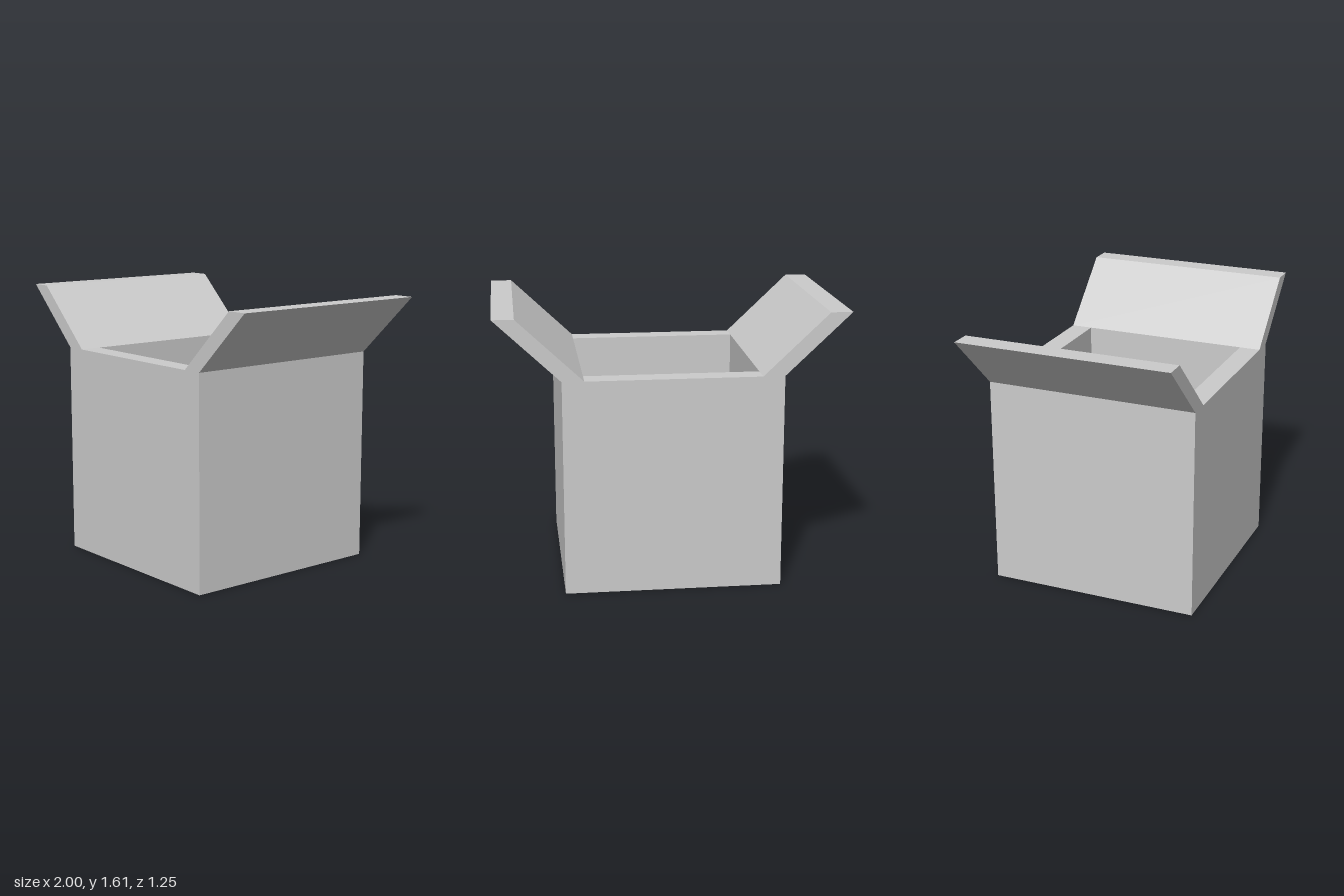
import * as THREE from 'three';

const OUTER = 0.625, INNER = 0.5, HEIGHT = 1.25, TOP = 1.605, WALL = OUTER - INNER, REACH = 0.375;

const material = new THREE.MeshStandardMaterial({ color: 0xcccccc, flatShading: true });

function addMesh(group, name, geometry) {
  const mesh = new THREE.Mesh(geometry, material);
  mesh.name = name;
  group.add(mesh);
  return mesh;
}

const polygon = (points) => new THREE.Shape(points.map(([x, y]) => new THREE.Vector2(x, y)));
const square = (r) => polygon([[-r, -r], [r, -r], [r, r], [-r, r]]);

export function createModel() {
  const box = new THREE.Group();
  box.name = 'openBox';

  // Four walls as one square ring
  const ring = square(OUTER);
  ring.holes.push(square(INNER));
  const walls = new THREE.ExtrudeGeometry(ring, { depth: HEIGHT, bevelEnabled: false });
  walls.rotateX(-Math.PI / 2);
  addMesh(box, 'walls', walls);

  // Floor panel inside the ring
  const floor = new THREE.BoxGeometry(INNER * 2, WALL, INNER * 2);
  addMesh(box, 'floor', floor).position.y = WALL / 2;

  // Slanted flaps along the left and right walls
  for (const [name, side] of [['leftFlap', 1], ['rightFlap', -1]]) {
    const profile = polygon([
      [side * INNER, HEIGHT], [side * OUTER, HEIGHT],
      [side * (OUTER + REACH), TOP], [side * (INNER + REACH), TOP],
    ]);
    const flap = new THREE.ExtrudeGeometry(profile, { depth: OUTER * 2, bevelEnabled: false });
    flap.translate(0, 0, -OUTER);
    addMesh(box, name, flap);
  }
  return box;
}
